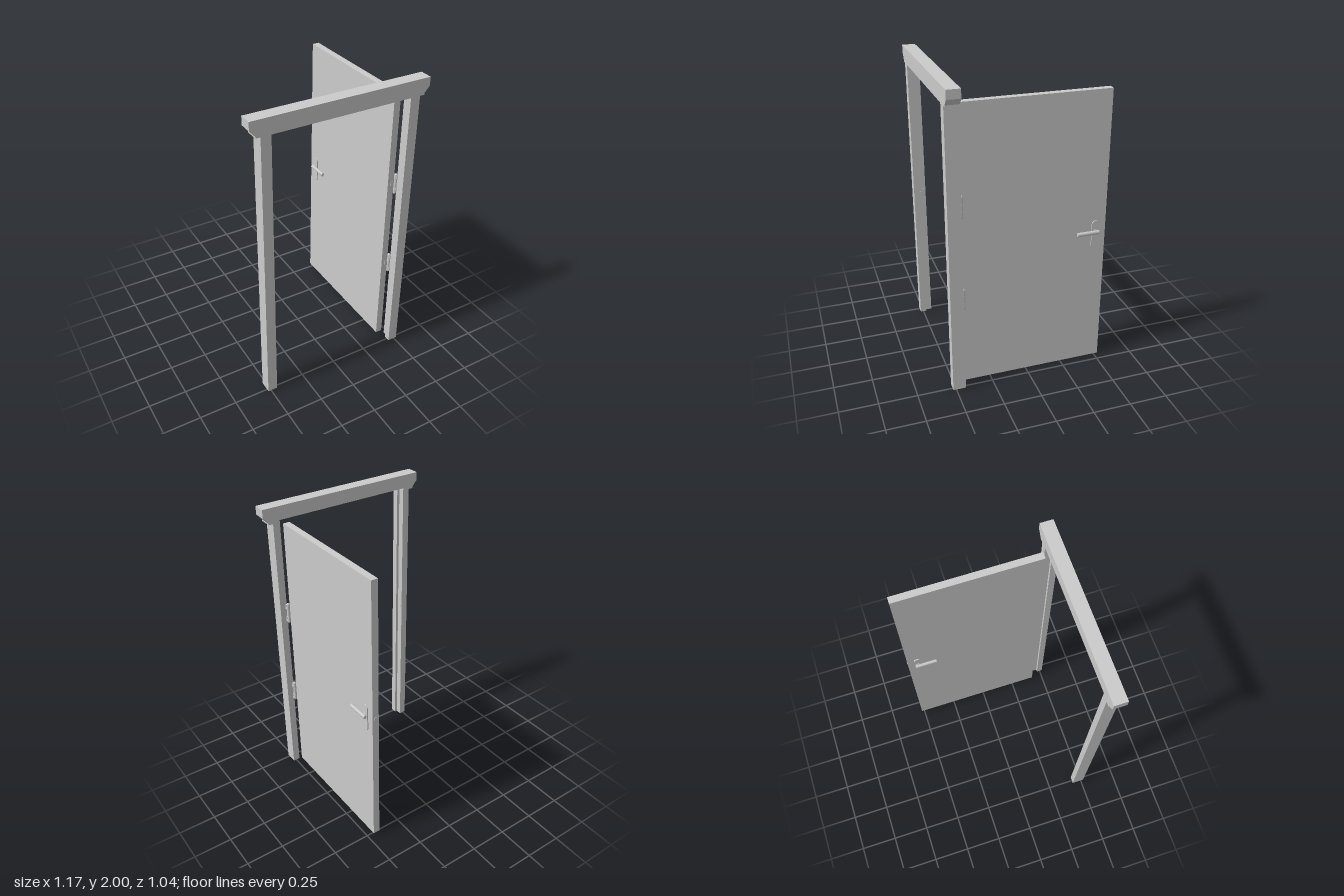
import * as THREE from 'three';

const material = new THREE.MeshStandardMaterial({ color: 0xcccccc });

function add(parent, name, geometry, x = 0, y = 0, z = 0) {
  const mesh = new THREE.Mesh(geometry, material);
  mesh.name = name;
  mesh.position.set(x, y, z);
  parent.add(mesh);
  return mesh;
}

const box = (w, h, d) => new THREE.BoxGeometry(w, h, d);
const polygon = (points) => new THREE.Shape(points.map(([x, y]) => new THREE.Vector2(x, y)));
const extrude = (shape, depth) =>
  new THREE.ExtrudeGeometry(shape, { depth, bevelEnabled: false, curveSegments: 12 });

const FRONT = 0.52, BACK = 0.435, STOP = 0.478; // frame depth and rebate line

// L-shaped post with a rebate at its inner back edge
function makePost(parent, side) {
  const profile = [
    [0.455, -FRONT], [0.52, -FRONT], [0.52, -BACK], [0.473, -BACK], [0.473, -STOP], [0.455, -STOP],
  ].map(([x, z]) => [side * x, z]);
  const geometry = extrude(polygon(profile), 1.895).rotateX(-Math.PI / 2);
  add(parent, side > 0 ? 'leftPost' : 'rightPost', geometry);
}

// Head beam with bevelled ends; the rear half is rebated above the opening
function makeLintel(parent) {
  const ends = [[0.55, 1.895], [0.55, 1.905], [0.585, 1.945], [0.585, 2]];
  const outline = [...ends, ...ends.map(([x, y]) => [-x, y]).reverse()];
  const notch = [[-0.473, 1.895], [-0.473, 1.91], [0.473, 1.91], [0.473, 1.895]];
  add(parent, 'lintelFront', extrude(polygon(outline), FRONT - STOP), 0, 0, STOP);
  add(parent, 'lintelBack', extrude(polygon([...outline, ...notch]), STOP - BACK), 0, 0, BACK);
}

// Pin hinge with three knuckles, rounded tips and two leaves
function makeHinge(parent, y) {
  const hinge = new THREE.Group();
  hinge.name = 'hinge';
  hinge.position.set(0.47, y, 0.423);
  const profile = [
    [0, -0.075], [0.007, -0.073], [0.01, -0.068], [0.011, -0.062],
    [0.011, -0.027], [0.009, -0.026], [0.009, -0.024], [0.011, -0.023],
    [0.011, 0.023], [0.009, 0.024], [0.009, 0.026], [0.011, 0.027],
    [0.011, 0.062], [0.01, 0.068], [0.007, 0.073], [0, 0.075],
  ].map(([r, h]) => new THREE.Vector2(r, h));
  add(hinge, 'hingeKnuckles', new THREE.LatheGeometry(profile, 16));
  add(hinge, 'doorLeaf', box(0.03, 0.046, 0.003), -0.018, 0, -0.002);
  for (const s of [-1, 1]) add(hinge, 'frameLeaf', box(0.014, 0.035, 0.012), 0.006, s * 0.045, 0.008);
  parent.add(hinge);
}

// Lever handle with a round-ended backplate, pointing outwards along +x
function makeHandle(parent, side) {
  const handle = new THREE.Group();
  handle.name = side > 0 ? 'outerHandle' : 'innerHandle';
  handle.position.set(0.4375 + side * 0.0225, 0.965, -0.45);
  handle.rotation.z = side > 0 ? 0 : Math.PI;

  const r = 0.024, top = 0.075, bottom = -0.115;
  const plate = new THREE.Shape();
  plate.absarc(0, top - r, r, 0, Math.PI);
  plate.absarc(0, bottom + r, r, Math.PI, 2 * Math.PI);
  plate.closePath();
  const plateGeometry = extrude(plate, 0.007).rotateY(Math.PI / 2);
  // Undo the half turn for the plate so both sides hang the same way
  const plateMesh = add(handle, 'backplate', plateGeometry);
  if (side < 0) {
    plateMesh.rotation.z = Math.PI;
    plateMesh.position.x = 0.007;
  }

  add(handle, 'neck', new THREE.CylinderGeometry(0.01, 0.01, 0.022, 16).rotateZ(Math.PI / 2), 0.013);
  add(handle, 'neckCollar', new THREE.CylinderGeometry(0.014, 0.014, 0.006, 16).rotateZ(Math.PI / 2), 0.009);
  const bar = [
    [0, -0.075], [0.009, -0.075], [0.0115, -0.072], [0.0115, 0.072], [0.009, 0.075], [0, 0.075],
  ].map(([radius, h]) => new THREE.Vector2(radius, h));
  const lever = new THREE.LatheGeometry(bar, 20).rotateX(Math.PI / 2).scale(1, 1.2, 1);
  add(handle, 'lever', lever, 0.0205, 0, 0.053);
  parent.add(handle);
}

export function createModel() {
  const model = new THREE.Group();
  model.name = 'openDoor';

  // Frame
  const frame = new THREE.Group();
  frame.name = 'frame';
  for (const side of [-1, 1]) makePost(frame, side);
  makeLintel(frame);
  add(frame, 'strikePlate', box(0.002, 0.07, 0.025), -0.472, 0.965, 0.457);

  // Door leaf standing open at a right angle
  const door = new THREE.Group();
  door.name = 'door';
  add(door, 'doorPanel', box(0.045, 1.875, 0.94), 0.4375, 0.9525, -0.05);
  add(door, 'latch', box(0.014, 0.02, 0.004), 0.4375, 0.965, -0.52);
  for (const side of [-1, 1]) makeHandle(door, side);

  for (const y of [0.635, 1.2625]) makeHinge(model, y);
  model.add(frame, door);
  return model;
}
